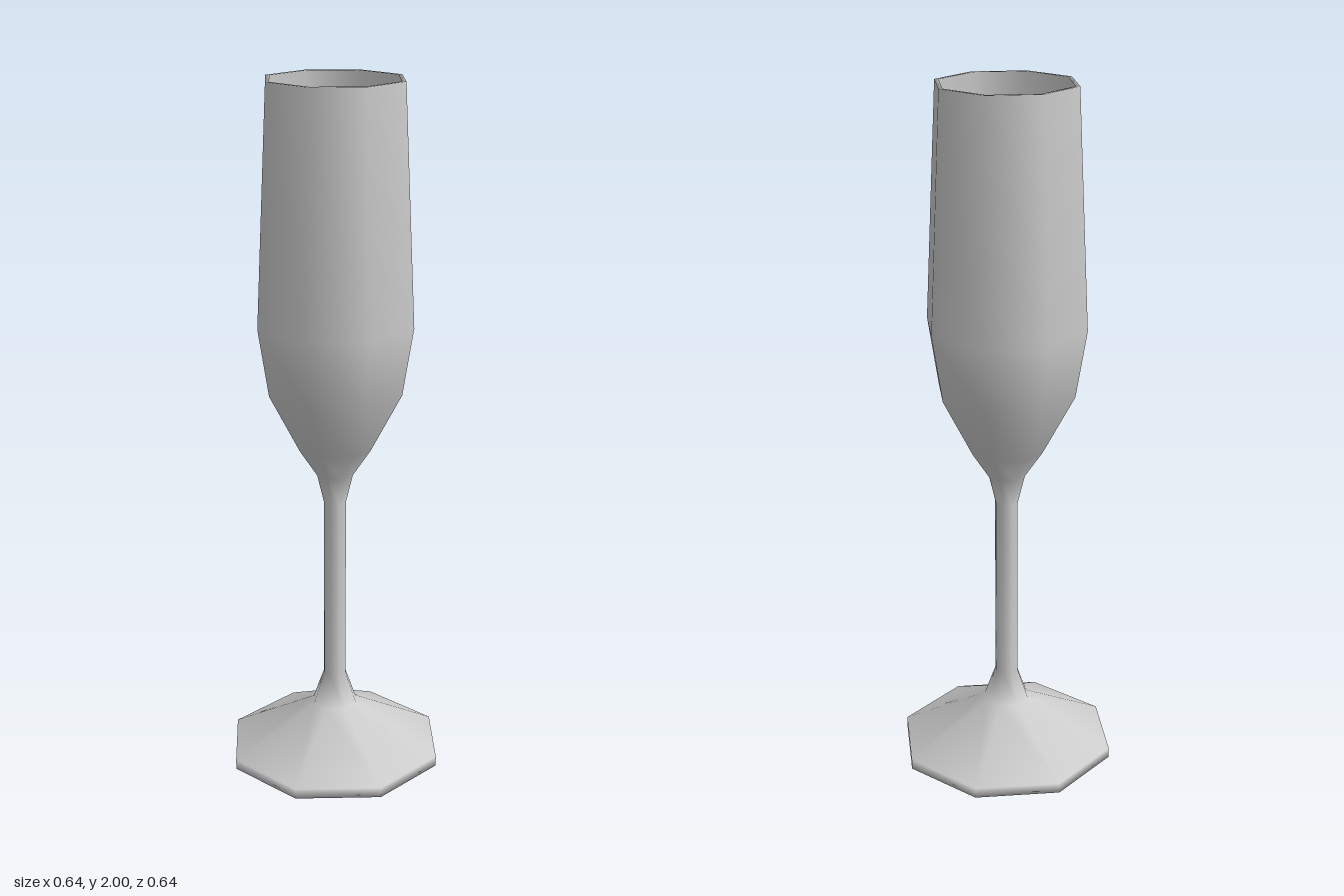
import * as THREE from 'three';

const SIDES = 8;

// Profile sections as [radius, height], running up the outside and back down the inside
const foot = [[0, 0], [0.32, 0], [0.32, 0.03], [0.068, 0.16]];
const stem = [[0.034, 0.255], [0.034, 0.80], [0.055, 0.885]];
const bowlOutside = [[0.108, 0.965], [0.2, 1.14], [0.232, 1.335], [0.2, 2]];
const bowlInside = [[0.188, 2], [0.219, 1.335], [0.188, 1.15], [0.1, 0.985], [0, 0.93]];

export function createModel() {
  const group = new THREE.Group();
  group.name = 'fluteGlass';

  // Foot, stem and hollow bowl are one continuous smooth eight-sided surface
  const profile = [...foot, ...stem, ...bowlOutside, ...bowlInside]
    .map(([r, y]) => new THREE.Vector2(r, y));
  const glass = new THREE.Mesh(
    new THREE.LatheGeometry(profile, SIDES),
    new THREE.MeshStandardMaterial({ color: 0xcccccc })
  );
  glass.name = 'footStemAndBowl';
  group.add(glass);

  return group;
}
